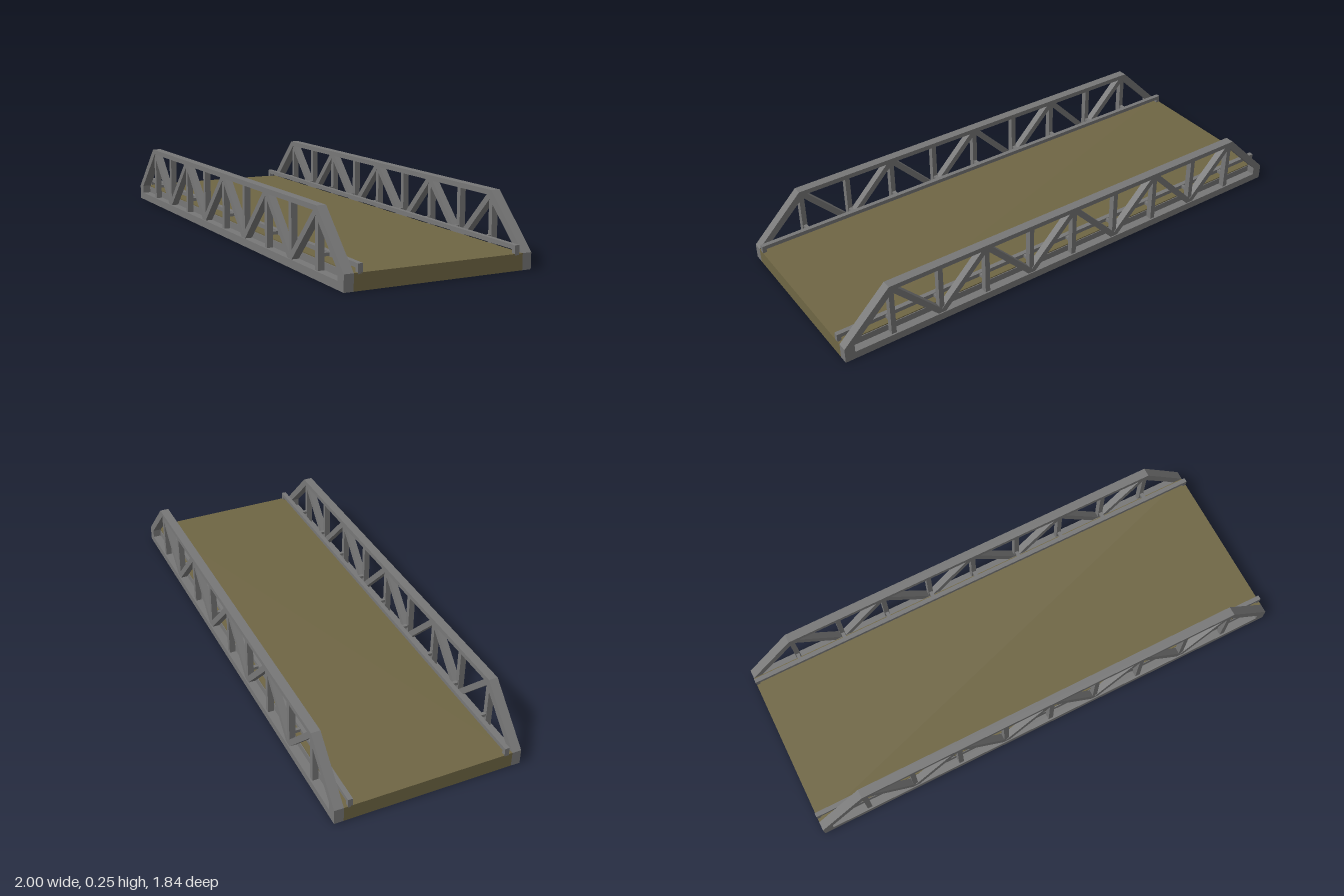
import * as THREE from 'three';

const steel = new THREE.MeshStandardMaterial({ color: 0x777777, flatShading: true });
const road = new THREE.MeshStandardMaterial({ color: 0x6f6644, flatShading: true });

function box(parent, name, mat, size, pos) {
  const mesh = new THREE.Mesh(new THREE.BoxGeometry(...size), mat);
  mesh.name = name;
  mesh.position.set(...pos);
  parent.add(mesh);
  return mesh;
}

// Straight bar between two points of the truss plane
function bar(parent, name, [x0, y0], [x1, y1], thick, depth) {
  const dx = x1 - x0, dy = y1 - y0;
  const mesh = box(parent, name, steel, [Math.hypot(dx, dy), thick, depth],
    [(x0 + x1) / 2, (y0 + y1) / 2, 0]);
  mesh.rotation.z = Math.atan2(dy, dx);
}

function polygon(Type, points) {
  return new Type(points.map(([x, y]) => new THREE.Vector2(x, y)));
}

function createTruss() {
  const truss = new THREE.Group();
  const depth = 0.036;

  // Bottom chord, sloping end posts and top chord in one outline
  const outline = polygon(THREE.Shape,
    [[-1, 0], [1, 0], [1, 0.06], [0.81, 0.25], [-0.81, 0.25], [-1, 0.06]]);
  outline.holes.push(polygon(THREE.Path,
    [[-0.96, 0.03], [-0.96, 0.062], [-0.788, 0.231], [0.788, 0.231], [0.96, 0.062], [0.96, 0.03]]));
  const geometry = new THREE.ExtrudeGeometry(outline, { depth, bevelEnabled: false });
  geometry.translate(0, 0, -depth / 2);
  const frame = new THREE.Mesh(geometry, steel);
  frame.name = 'trussFrame';
  truss.add(frame);

  // Verticals at every panel point
  for (let i = -4; i <= 4; i++) {
    bar(truss, 'vertical', [i * 0.2, 0.025], [i * 0.2, 0.24], 0.02, 0.024);
  }
  // Diagonals fan down from every second top joint
  for (let i = -4; i < 4; i++) {
    const top = i % 2 === 0 ? i : i + 1;
    const foot = i % 2 === 0 ? i + 1 : i;
    bar(truss, 'diagonal', [top * 0.2, 0.237], [foot * 0.2, 0.03], 0.023, 0.028);
  }
  return truss;
}

export function createModel() {
  const model = new THREE.Group();
  model.name = 'trussBridge';

  // Roadway slab with a downturned beam at each end
  box(model, 'deck', road, [2, 0.032, 0.658], [0, 0.044, 0]);
  for (const s of [-1, 1]) {
    box(model, 'endBeam', road, [0.04, 0.03, 0.658], [s * 0.98, 0.015, 0]);
  }

  for (const s of [-1, 1]) {
    const truss = createTruss();
    truss.name = s > 0 ? 'frontTruss' : 'backTruss';
    truss.position.z = s * 0.347;
    model.add(truss);

    // Steel edge plate closing the side of the slab
    box(model, 'edgePlate', steel, [1.99, 0.026, 0.006], [0, 0.043, s * 0.329]);

    // Low guard rail inside the truss
    box(model, 'guardRail', steel, [2, 0.016, 0.018], [0, 0.082, s * 0.305]);
    for (const x of [-0.992, 0.992]) {
      box(model, 'railPost', steel, [0.016, 0.03, 0.018], [x, 0.07, s * 0.305]);
    }
    // Brackets tying the rail to the truss verticals
    for (let i = -4; i <= 4; i++) {
      box(model, 'railBracket', steel, [0.014, 0.012, 0.03], [i * 0.2, 0.082, s * 0.325]);
    }
  }

  // The bridge runs diagonally across the ground plan
  model.rotation.y = THREE.MathUtils.degToRad(-40);
  const group = new THREE.Group();
  group.name = 'bridge';
  group.add(model);
  return group;
}
